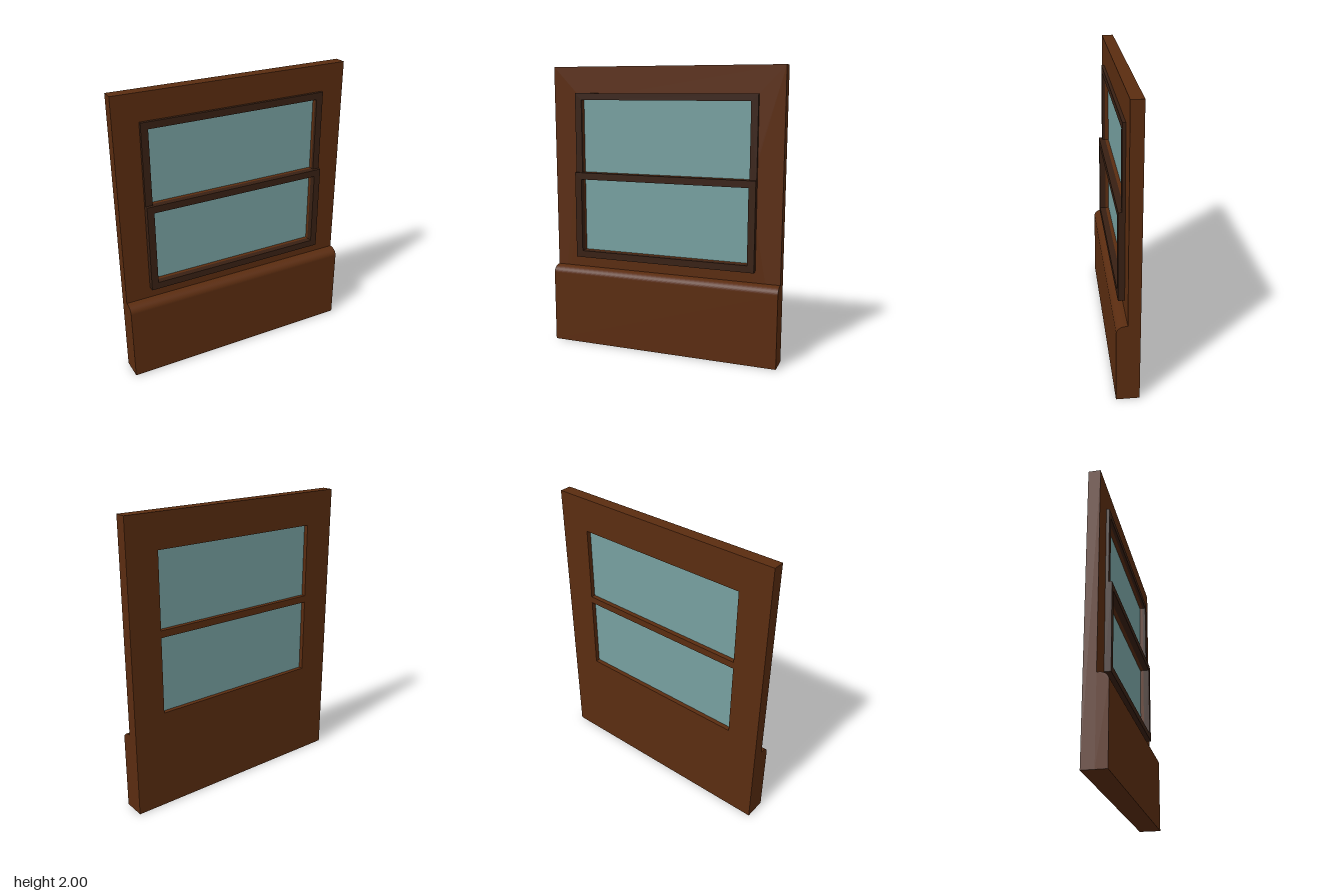
import * as THREE from 'three';

const material = (color) => new THREE.MeshStandardMaterial({ color });

// Adds a closed rectangle [x0, y0, x1, y1] to a shape or path
function rect(path, [x0, y0, x1, y1]) {
  path.moveTo(x0, y0);
  path.lineTo(x1, y0);
  path.lineTo(x1, y1);
  path.lineTo(x0, y1);
  path.closePath();
  return path;
}

// Flat board with rectangular openings, spanning z0 to z1
function board(name, outer, openings, z0, z1, mat) {
  const shape = rect(new THREE.Shape(), outer);
  for (const o of openings) shape.holes.push(rect(new THREE.Path(), o));
  const geometry = new THREE.ExtrudeGeometry(shape, { depth: z1 - z0, bevelEnabled: false });
  geometry.translate(0, 0, z0);
  const mesh = new THREE.Mesh(geometry, mat);
  mesh.name = name;
  return mesh;
}

export function createModel() {
  const group = new THREE.Group();
  group.name = 'windowWall';
  const wood = material(0x5a2c10);
  const darkWood = material(0x382013);
  const glass = material(0x76a0a0);

  const halfWidth = 0.832, back = -0.077, wallFront = 0.004;
  const upper = [-0.612, 1.258, 0.612, 1.77];
  const lower = [-0.612, 0.688, 0.612, 1.21];

  // Wall with two window openings
  group.add(board('wall', [-halfWidth, 0, halfWidth, 2], [upper, lower], back, wallFront, wood));

  // Sash frames, the lower one standing further forward
  group.add(board('upperSash', [-0.66, 1.21, 0.66, 1.817], [upper], wallFront, 0.025, darkWood));
  group.add(board('lowerSash', [-0.66, 0.64, 0.66, 1.258], [lower], wallFront, 0.047, darkWood));

  // Glass panes set inside the openings
  group.add(board('upperPane', upper, [], -0.046, -0.02, glass));
  group.add(board('lowerPane', lower, [], -0.046, -0.02, glass));

  // Lower panel: side profile with a rounded top front edge, swept across x
  const front = 0.077, top = 0.563, rx = 0.06, ry = 0.05;
  const profile = new THREE.Shape();
  profile.moveTo(wallFront, 0);
  profile.lineTo(front, 0);
  profile.lineTo(front, top - ry);
  profile.absellipse(front - rx, top - ry, rx, ry, 0, Math.PI / 2, false);
  profile.lineTo(wallFront, top);
  profile.closePath();
  const panelGeometry = new THREE.ExtrudeGeometry(profile, {
    depth: 2 * halfWidth, bevelEnabled: false, curveSegments: 10,
  });
  panelGeometry.translate(0, 0, -halfWidth);
  panelGeometry.rotateY(-Math.PI / 2);
  const panel = new THREE.Mesh(panelGeometry, wood);
  panel.name = 'lowerPanel';
  group.add(panel);

  return group;
}
